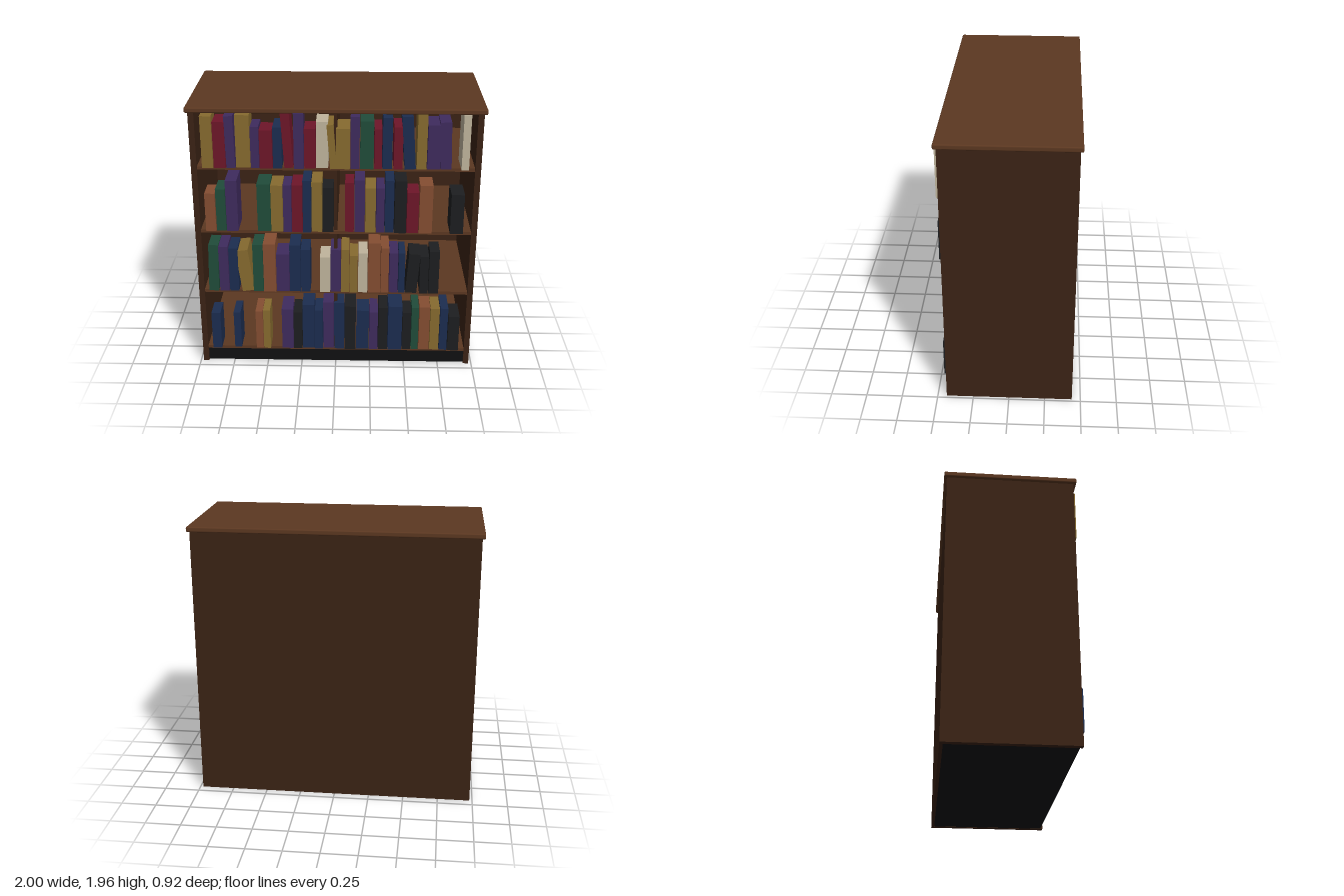
import * as THREE from 'three';
import { RoundedBoxGeometry } from 'three/addons/geometries/RoundedBoxGeometry.js';

const mat = (color) => new THREE.MeshStandardMaterial({ color });
const wood = mat(0x5c3821), darkWood = mat(0x3b2315), black = mat(0x101112);

// Book cloth colours
const gold = mat(0x876b2f), red = mat(0x6e1629), purple = mat(0x3f2b5e), navy = mat(0x1c2d50);
const green = mat(0x204c3a), cream = mat(0xc0b59d), tan = mat(0x854e32), coal = mat(0x1d1e20);

// Each book: cloth, left edge, height, [width if not packed against the next], [lean]
const topRow = [
  [gold, -0.9, 0.365], [red, -0.82, 0.325], [purple, -0.735, 0.365, 0.06, 0.02], [gold, -0.67, 0.37],
  [purple, -0.57, 0.29], [red, -0.51, 0.27], [navy, -0.42, 0.29, 0.06], [red, -0.345, 0.385, 0.06, 0.06],
  [purple, -0.28, 0.39], [red, -0.21, 0.28], [cream, -0.13, 0.325, 0.08], [gold, -0.035, 0.31, 0.045, 0.08],
  [gold, 0.005, 0.285], [purple, 0.1, 0.365], [green, 0.165, 0.335], [red, 0.26, 0.28],
  [navy, 0.315, 0.36, 0.065], [red, 0.39, 0.295, 0.06], [navy, 0.465, 0.37, 0.075, 0.07], [gold, 0.545, 0.39],
  [purple, 0.615, 0.31], [purple, 0.705, 0.33, 0.075, 0.035], [cream, 0.845, 0.385, 0.05],
];
const upperRow = [
  [tan, -0.9, 0.28], [green, -0.825, 0.31], [purple, -0.755, 0.375, 0.08], [green, -0.54, 0.35],
  [gold, -0.445, 0.345], [purple, -0.36, 0.35], [red, -0.3, 0.35], [navy, -0.225, 0.385],
  [gold, -0.165, 0.37], [coal, -0.09, 0.33, 0.075], [red, 0.065, 0.365], [purple, 0.13, 0.385],
  [gold, 0.205, 0.33], [purple, 0.28, 0.33], [navy, 0.34, 0.385], [coal, 0.405, 0.385],
  [red, 0.49, 0.3], [tan, 0.575, 0.355, 0.09], [coal, 0.79, 0.29, 0.09],
];
const lowerRow = [
  [green, -0.905, 0.36, 0.07, -0.03], [purple, -0.825, 0.35], [navy, -0.755, 0.335, 0.065],
  [gold, -0.665, 0.32, 0.09, 0.14], [green, -0.585, 0.365], [tan, -0.51, 0.375], [purple, -0.42, 0.29],
  [navy, -0.325, 0.365], [navy, -0.245, 0.33, 0.065], [cream, -0.11, 0.275], [purple, -0.035, 0.33],
  [gold, 0.04, 0.335], [gold, 0.1, 0.29], [cream, 0.16, 0.31], [tan, 0.23, 0.39], [tan, 0.32, 0.35],
  [purple, 0.38, 0.31], [navy, 0.445, 0.31, 0.045], [coal, 0.495, 0.305, 0.08, -0.07],
  [coal, 0.595, 0.29], [coal, 0.66, 0.33, 0.07],
];
const bottomRow = [
  [navy, -0.9, 0.29, 0.065], [navy, -0.74, 0.29, 0.05], [tan, -0.58, 0.305], [gold, -0.525, 0.315, 0.05],
  [purple, -0.39, 0.325], [coal, -0.305, 0.3], [navy, -0.24, 0.36], [navy, -0.15, 0.32],
  [purple, -0.09, 0.38], [navy, -0.01, 0.38], [coal, 0.065, 0.355], [navy, 0.15, 0.32],
  [purple, 0.245, 0.31], [coal, 0.31, 0.345], [navy, 0.38, 0.36], [coal, 0.485, 0.305],
  [green, 0.55, 0.345], [tan, 0.605, 0.35], [gold, 0.685, 0.34], [navy, 0.755, 0.345], [coal, 0.815, 0.28, 0.08],
];

let seed = 7;
const random = () => (seed = (seed * 16807) % 2147483647) / 2147483647;

// Box given by its two extreme corners
function box(parent, name, material, [x0, y0, z0], [x1, y1, z1]) {
  const mesh = new THREE.Mesh(new THREE.BoxGeometry(x1 - x0, y1 - y0, z1 - z0), material);
  mesh.position.set((x0 + x1) / 2, (y0 + y1) / 2, (z0 + z1) / 2);
  mesh.name = name;
  parent.add(mesh);
}

// A row of books standing on a shelf; leaning ones turn about their base
function bookRow(name, books, y) {
  const row = new THREE.Group();
  row.name = name;
  books.forEach(([cloth, x, h, width, lean = 0], i) => {
    const w = width ?? books[i + 1][1] - x - 0.004;
    const depth = 0.165 + 0.045 * random();
    const book = new THREE.Mesh(new THREE.BoxGeometry(w, h, depth).translate(0, h / 2, -depth / 2), cloth);
    book.position.set(x + w / 2, y, 0.443 + 0.018 * random());
    book.rotation.z = lean;
    book.name = 'book';
    row.add(book);
  });
  return row;
}

export function createModel() {
  const bookcase = new THREE.Group();
  bookcase.name = 'bookcase';

  // Carcass
  for (const [name, x] of [['leftSide', 0.96], ['rightSide', -0.96]]) {
    box(bookcase, name, darkWood, [x - 0.02, 0, -0.44], [x + 0.02, 1.93, 0.437]);
  }
  box(bookcase, 'backPanel', darkWood, [-0.94, 0, -0.44], [0.94, 1.93, -0.418]);
  box(bookcase, 'plinth', black, [-0.94, 0.002, -0.418], [0.94, 0.102, 0.42]);
  box(bookcase, 'divider', darkWood, [-0.011, 0.124, -0.418], [0.011, 1.93, 0.42]);

  // Top board with softened edges
  const top = new THREE.Mesh(new RoundedBoxGeometry(2, 0.036, 0.915, 2, 0.009), wood);
  top.position.set(0, 1.944, 0);
  top.name = 'topBoard';
  bookcase.add(top);

  // Shelves and their books
  const rows = [['bottomBooks', bottomRow], ['lowerBooks', lowerRow], ['upperBooks', upperRow], ['topBooks', topRow]];
  rows.forEach(([name, books], i) => {
    const y = 0.125 + i * 0.472;
    box(bookcase, 'shelf', wood, [-0.94, y - 0.023, -0.418], [0.94, y, 0.43]);
    bookcase.add(bookRow(name, books, y));
  });
  return bookcase;
}
